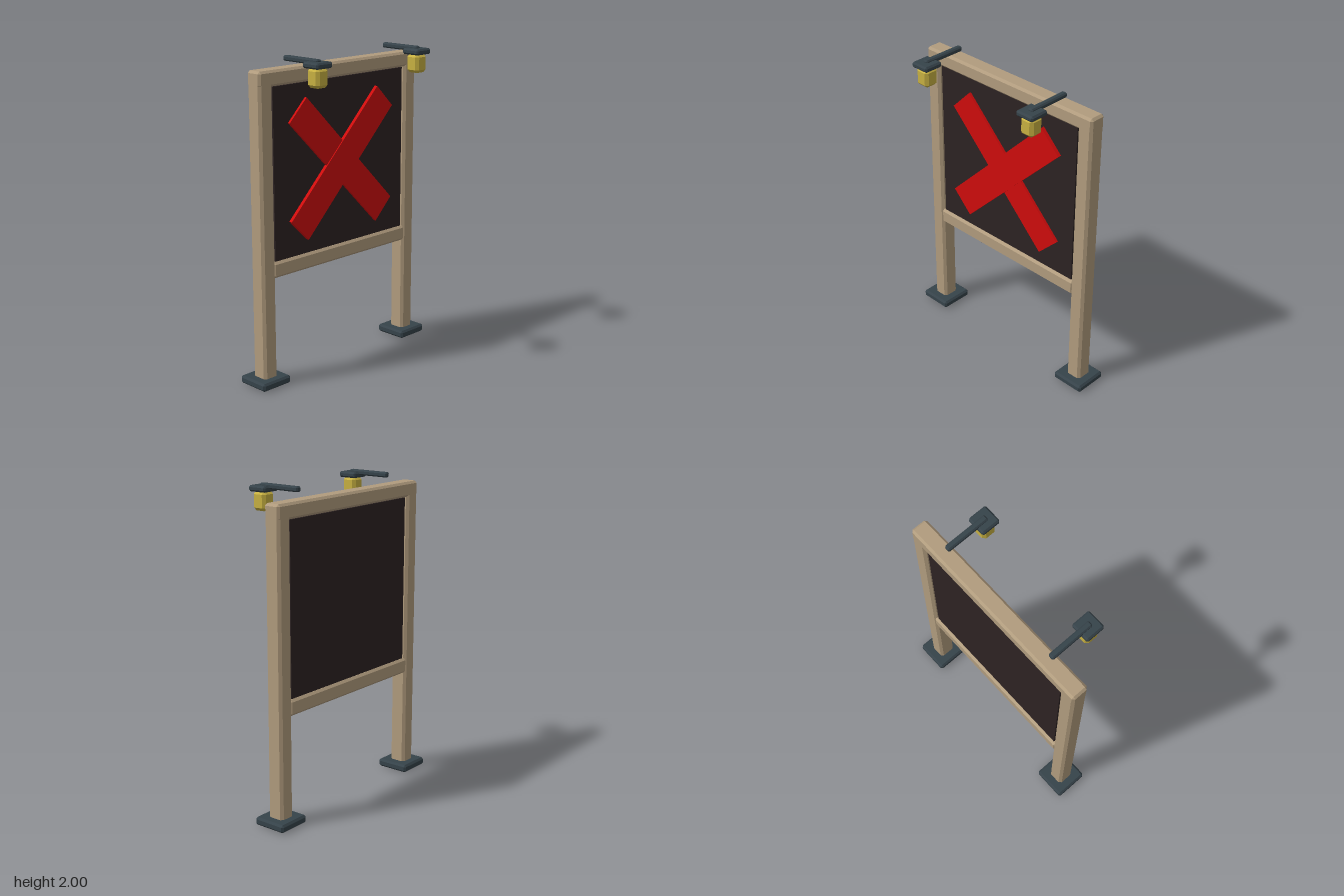
import * as THREE from 'three';
import { ConvexGeometry } from 'three/addons/geometries/ConvexGeometry.js';

const material = (name, color) => {
  const m = new THREE.MeshStandardMaterial({ color });
  m.name = name;
  return m;
};

// Box with every edge chamfered by c: three corner points per box corner
function chamferBox(w, h, d, c) {
  const points = [];
  const [x, y, z] = [w / 2, h / 2, d / 2];
  for (const sx of [-1, 1]) for (const sy of [-1, 1]) for (const sz of [-1, 1]) {
    points.push(
      new THREE.Vector3(sx * x, sy * (y - c), sz * (z - c)),
      new THREE.Vector3(sx * (x - c), sy * y, sz * (z - c)),
      new THREE.Vector3(sx * (x - c), sy * (y - c), sz * z));
  }
  return new ConvexGeometry(points);
}

export function createModel() {
  const group = new THREE.Group();
  group.name = 'signBoard';

  const wood = material('paleWood', 0xb19c7e);
  const board = material('darkBoard', 0x2d2323);
  const red = material('redPaint', 0xd00c0c);
  const metal = material('darkMetal', 0x36434a);
  const glow = material('yellowLamp', 0xc8b142);

  const add = (name, geometry, mat, x, y, z) => {
    const mesh = new THREE.Mesh(geometry, mat);
    mesh.name = name;
    mesh.position.set(x, y, z);
    group.add(mesh);
    return mesh;
  };

  const frameZ = -0.115;

  // Posts, feet and hanging lamps, mirrored left and right
  for (const [side, s] of [['left', 1], ['right', -1]]) {
    add(side + 'Post', chamferBox(0.105, 1.93, 0.11, 0.016), wood, s * 0.6165, 0.965, frameZ);
    add(side + 'Foot', chamferBox(0.22, 0.05, 0.22, 0.012), metal, s * 0.6165, 0.027, frameZ);

    add(side + 'LampArm', chamferBox(0.038, 0.032, 0.29, 0.008), metal, s * 0.423, 1.984, 0.033);
    add(side + 'LampCap', chamferBox(0.127, 0.036, 0.127, 0.01), metal, s * 0.423, 1.969, 0.162);
    add(side + 'Lamp', chamferBox(0.095, 0.115, 0.095, 0.018), glow, s * 0.423, 1.896, 0.163);
  }

  // Rails
  add('topRail', chamferBox(1.338, 0.095, 0.11, 0.014), wood, 0, 1.8825, frameZ);
  add('bottomRail', chamferBox(1.16, 0.1, 0.11, 0.014), wood, 0, 0.726, frameZ);

  // Board set into the frame
  add('board', new THREE.BoxGeometry(1.108, 1.057, 0.076), board, 0, 1.303, frameZ);

  // Crossed bars, one lying slightly above the other
  const bar = new THREE.BoxGeometry(1.046, 0.195, 0.025);
  add('lowerCrossBar', bar, red, 0, 1.303, -0.073).rotation.z = -Math.PI / 4;
  add('upperCrossBar', bar, red, 0, 1.303, -0.066).rotation.z = Math.PI / 4;

  return group;
}
